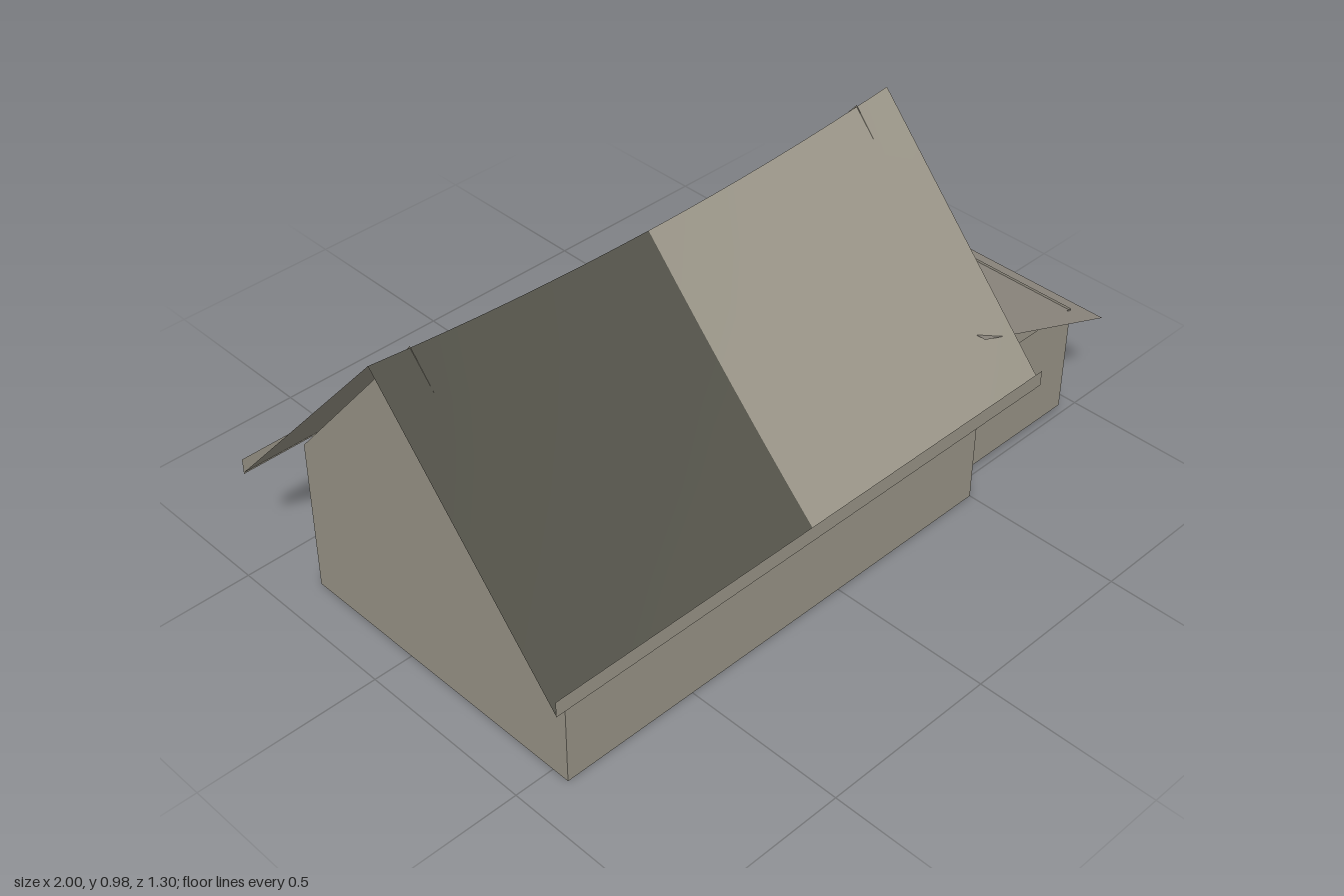
import * as THREE from 'three';

const stone = new THREE.MeshStandardMaterial({ color: 0x9a9588, side: THREE.DoubleSide });
stone.name = 'warm grey';
const dark = new THREE.MeshStandardMaterial({ color: 0x54534a, side: THREE.DoubleSide });
dark.name = 'dark grey';
const leanGrey = new THREE.MeshStandardMaterial({ color: 0x958f86, side: THREE.DoubleSide });
leanGrey.name = 'lean-to grey';

const RIDGE_Z = 0.1, ROOF_HALF = 0.55, EAVE_Y = 0.36;
const X0 = -1, XM = -0.2, X1 = 0.61;

function add(parent, name, geometry, material, x = 0, y = 0, z = 0) {
  const mesh = new THREE.Mesh(geometry, material);
  mesh.name = name;
  mesh.position.set(x, y, z);
  parent.add(mesh);
  return mesh;
}

// Flat wall from an outline of [u, y] points
function outline(points) {
  return new THREE.ShapeGeometry(new THREE.Shape(points.map(p => new THREE.Vector2(...p))));
}

// Flat wall facing +x (dir 1) or -x (dir -1), outline in [z, y]
function sideWall(parent, name, points, x, dir) {
  const mesh = add(parent, name, outline(points.map(([z, y]) => [-dir * z, y])), stone, x);
  mesh.rotation.y = dir * Math.PI / 2;
}

// Flat wall facing +z (dir 1) or -z (dir -1)
function longWall(parent, name, xa, xb, ya, yb, z, dir) {
  const mesh = add(parent, name, new THREE.PlaneGeometry(xb - xa, yb - ya), stone, (xa + xb) / 2, (ya + yb) / 2, z);
  if (dir < 0) mesh.rotation.y = Math.PI;
}

// Half of one roof slope: straight eave, sagging ridge
function roofPanel(xa, xb, side) {
  const g = new THREE.PlaneGeometry(1, 1, 8, 6);
  const p = g.attributes.position;
  for (let i = 0; i < p.count; i++) {
    const u = p.getX(i) + 0.5, down = 0.5 - p.getY(i);
    const x = side > 0 ? xa + (xb - xa) * u : xb + (xa - xb) * u;
    const c = 1 - ((x + 0.195) / 0.805) ** 2;
    const y = 0.977 + (EAVE_Y - 0.977) * down - 0.042 * c * (1 - down * down);
    p.setXYZ(i, x, y, RIDGE_Z + side * ROOF_HALF * down);
  }
  g.computeVertexNormals();
  return g;
}

// Rectangular frame of bars on the back wall
function frame(parent, name, xa, xb, ya, yb, w, depth, hasSill) {
  const group = new THREE.Group();
  group.name = name;
  parent.add(group);
  const z = -0.35 - depth / 2, cx = (xa + xb) / 2;
  for (const x of [xa + w / 2, xb - w / 2])
    add(group, 'post', new THREE.BoxGeometry(w, yb - ya, depth), stone, x, (ya + yb) / 2, z);
  add(group, 'lintel', new THREE.BoxGeometry(xb - xa, w, depth + 0.003), stone, cx, yb - w / 2, z - 0.0015);
  if (hasSill) add(group, 'sill', new THREE.BoxGeometry(xb - xa, w, depth + 0.003), stone, cx, ya + w / 2, z - 0.0015);
}

export function createModel() {
  const model = new THREE.Group();
  model.name = 'cottage';

  // Main house: open shell with two gables
  const house = new THREE.Group();
  house.name = 'house';
  model.add(house);
  const gable = [[-0.35, 0], [0.55, 0], [0.55, 0.44], [0.1, 0.971], [-0.35, 0.44]];
  sideWall(house, 'leftGable', gable, 0.5, 1);
  sideWall(house, 'rightGable', gable, -0.89, -1);
  longWall(house, 'frontWall', -0.89, 0.5, 0, 0.44, 0.55, 1);
  longWall(house, 'backWall', -0.89, 0.5, 0, 0.44, -0.35, -1);

  // Sagging roof in four panels, with upright eave boards
  const roof = new THREE.Group();
  roof.name = 'roof';
  model.add(roof);
  for (const side of [1, -1]) {
    add(roof, 'roofPanelRight', roofPanel(X0, XM, side), side > 0 ? dark : stone);
    add(roof, 'roofPanelLeft', roofPanel(XM, X1, side), side > 0 ? stone : dark);
    longWall(roof, 'eaveBoard', X0, X1, EAVE_Y - 0.004, 0.4, RIDGE_Z + side * ROOF_HALF, side);
  }

  // Lean-to with a thin sloping roof
  const leanTo = new THREE.Group();
  leanTo.name = 'leanTo';
  model.add(leanTo);
  longWall(leanTo, 'leanToFrontWall', 0.5, 0.94, 0.02, 0.34, 0.49, 1);
  longWall(leanTo, 'leanToBackWall', 0.5, 0.94, 0.02, 0.34, -0.23, -1);
  sideWall(leanTo, 'leanToEndWall', [[-0.23, 0.02], [0.49, 0.02], [0.49, 0.34], [-0.23, 0.34]], 0.94, 1);
  const slope = new THREE.PlaneGeometry(Math.hypot(0.5, 0.19), 0.84);
  slope.rotateX(-Math.PI / 2).rotateZ(-Math.atan2(0.19, 0.5));
  add(leanTo, 'leanToRoof', slope, leanGrey, 0.75, 0.405, 0.13);

  // Door and window surrounds on the back
  frame(model, 'doorFrame', -0.26, -0.035, 0.02, 0.4, 0.022, 0.013, false);
  frame(model, 'windowFrame', -0.68, -0.47, 0.22, 0.38, 0.02, 0.012, true);

  // Stacked firewood
  const logs = new THREE.Group();
  logs.name = 'firewood';
  model.add(logs);
  const logShape = new THREE.CylinderGeometry(0.019, 0.019, 0.13, 6).toNonIndexed();
  logShape.rotateX(Math.PI / 2);
  logShape.computeVertexNormals();
  for (let row = 0; row < 2; row++)
    for (let i = 0; i < 4; i++)
      add(logs, 'log', logShape, stone, 0.1 + i * 0.043, 0.06 + row * 0.041, -0.435);

  // Chopping stump
  const stump = new THREE.CylinderGeometry(0.045, 0.045, 0.11, 7).toNonIndexed();
  stump.computeVertexNormals();
  add(model, 'stump', stump, stone, 0.38, 0.075, -0.61).rotation.y = 0.35;

  return model;
}
